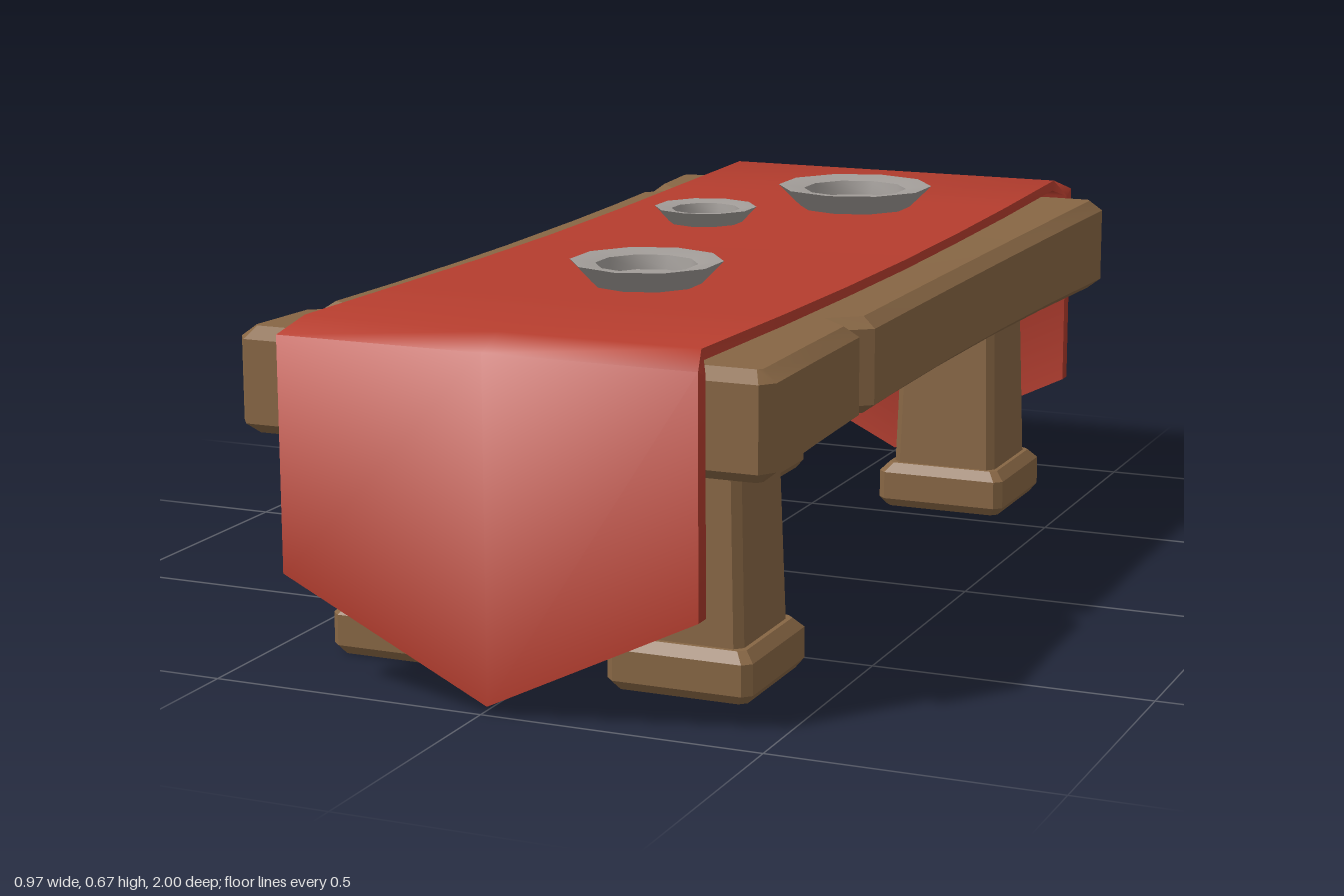
import * as THREE from 'three';
import { toCreasedNormals } from 'three/addons/utils/BufferGeometryUtils.js';

const material = (name, color) => {
  const m = new THREE.MeshStandardMaterial({ color });
  m.name = name;
  return m;
};

// Skin a row of equal-sized rings (counter-clockwise about the travel direction) and close both ends
function loft(rings, capTris, crease) {
  const n = rings[0].length, index = [];
  for (let i = 0; i < rings.length - 1; i++) {
    for (let j = 0; j < n; j++) {
      const a = i * n + j, b = i * n + (j + 1) % n;
      index.push(a, b, b + n, a, b + n, a + n);
    }
  }
  const last = (rings.length - 1) * n;
  for (const [a, b, c] of capTris) index.push(c, b, a, last + a, last + b, last + c);
  const g = new THREE.BufferGeometry();
  g.setAttribute('position', new THREE.Float32BufferAttribute(rings.flat(2), 3));
  g.setIndex(index);
  return toCreasedNormals(g, crease);
}

// Square post with chamfered corners; levels are [y, half width, chamfer]
function post(levels) {
  const rings = levels.map(([y, h, c]) => [
    [h, y, h - c], [h, y, c - h], [h - c, y, -h], [c - h, y, -h],
    [-h, y, c - h], [-h, y, h - c], [c - h, y, h], [h - c, y, h],
  ]);
  const fan = [1, 2, 3, 4, 5, 6].map(i => [0, i, i + 1]);
  return loft(rings, fan, 0.3);
}

// Bevelled slab with slightly waisted sides and chipped edges
function tabletopGeometry() {
  const end = 0.938, bow = z => 0.485 - 0.02 * (1 - (z / end) ** 2);
  const right = [-0.91, -0.6, -0.3, 0, 0.25, 0.42].map(z => [bow(z), z]);
  right.push([0.425, 0.455], [bow(0.5), 0.5], [bow(0.7), 0.7], [0.485, 0.91]);
  const left = [[-0.485, 0.91], [-bow(0.735), 0.735], [-0.41, 0.69], [-bow(0.672), 0.672]];
  for (const z of [0.45, 0.2, 0, -0.3, -0.5, -0.68]) left.push([-bow(z), z]);
  left.push([-0.432, -0.72], [-bow(-0.77), -0.77], [-0.485, -0.91]);
  const outline = [
    [0.465, -end], ...right, [0.465, end], [-0.465, end], ...left, [-0.465, -end],
  ].map(([x, z]) => new THREE.Vector2(x, -z));
  const g = new THREE.ExtrudeGeometry(new THREE.Shape(outline), {
    depth: 0.145, bevelEnabled: true, bevelSegments: 1,
    bevelThickness: 0.02, bevelSize: 0.025, bevelOffset: -0.025,
  });
  g.rotateX(-Math.PI / 2).translate(0, -0.0725, 0);
  // thin the slab a little towards the middle
  const p = g.attributes.position;
  for (let i = 0; i < p.count; i++) {
    const t = 1 - (p.getZ(i) / end) ** 2;
    p.setY(i, p.getY(i) * (1 - 0.1 * t) + 0.5075);
  }
  return toCreasedNormals(g, 0.5);
}

// Cloth runner: sags on top, folds over both ends and hangs to a point
function runnerGeometry() {
  // [outer z, outer y, inner z, inner y, half width, drop of the middle]
  const half = [
    [0.3, 0.619, 0.3, 0.601, 0.36, 0],
    [0.6, 0.624, 0.6, 0.605, 0.36, 0],
    [0.94, 0.631, 0.93, 0.611, 0.357, 0],
    [1.0, 0.607, 0.97, 0.595, 0.377, 0],
    [1.0, 0.2, 0.97, 0.2, 0.377, 0.185],
  ];
  const mirrored = half.map(([zo, yo, zi, ...rest]) => [-zo, yo, -zi, ...rest]).reverse();
  const stations = [...mirrored, [0, 0.617, 0, 0.599, 0.36, 0], ...half];
  const cx = 0.012;
  const rings = stations.map(([zo, yo, zi, yi, w, drop]) => [
    [cx + w, yo, zo], [cx, yo - drop, zo], [cx - w, yo, zo],
    [cx - w, yi, zi], [cx, yi - drop, zi], [cx + w, yi, zi],
  ]);
  return loft(rings, [[0, 1, 4], [0, 4, 5], [1, 2, 3], [1, 3, 4]], 1.3);
}

// Shallow dish with a wide rim and a sunken well
function dishGeometry(r, h) {
  const profile = [
    [0, 0], [0.72 * r, 0], [r, h], [0.96 * r, h],
    [0.67 * r, 0.85 * h], [0.64 * r, 0.2 * h], [0, 0.2 * h],
  ].map(([x, y]) => new THREE.Vector2(x, y));
  return toCreasedNormals(new THREE.LatheGeometry(profile, 10), 0.65);
}

export function createModel() {
  const wood = material('wood', 0x876644);
  const cloth = material('redCloth', 0xb53d2e);
  const metal = material('greyMetal', 0xa29d99);
  const model = new THREE.Group();
  model.name = 'table';
  const add = (name, geometry, mat, x = 0, y = 0, z = 0, parent = model) => {
    const mesh = new THREE.Mesh(geometry, mat);
    mesh.name = name;
    mesh.position.set(x, y, z);
    parent.add(mesh);
  };

  add('tabletop', tabletopGeometry(), wood);

  // Four tapered legs on block feet
  const legGeo = post([[0.08, 0.107, 0.014], [0.45, 0.096, 0.014]]);
  const footGeo = post([
    [0, 0.119, 0.012], [0.017, 0.132, 0.015], [0.072, 0.132, 0.015], [0.09, 0.115, 0.012],
  ]);
  for (const [sx, side] of [[1, 'Left'], [-1, 'Right']]) {
    for (const [sz, place] of [[1, 'front'], [-1, 'back']]) {
      const leg = new THREE.Group();
      leg.name = `${place}${side}Leg`;
      leg.position.set(sx * 0.262, 0, sz * 0.667);
      add('post', legGeo, wood, 0, 0, 0, leg);
      add('foot', footGeo, wood, 0, 0, 0, leg);
      model.add(leg);
    }
  }

  add('runner', runnerGeometry(), cloth);

  // Dishes on the runner
  add('largeDish', dishGeometry(0.153, 0.042), metal, 0.085, 0.624, -0.508);
  add('mediumDish', dishGeometry(0.136, 0.04), metal, 0.04, 0.623, 0.415);
  add('smallDish', dishGeometry(0.1, 0.03), metal, -0.13, 0.619, -0.247);

  return model;
}
